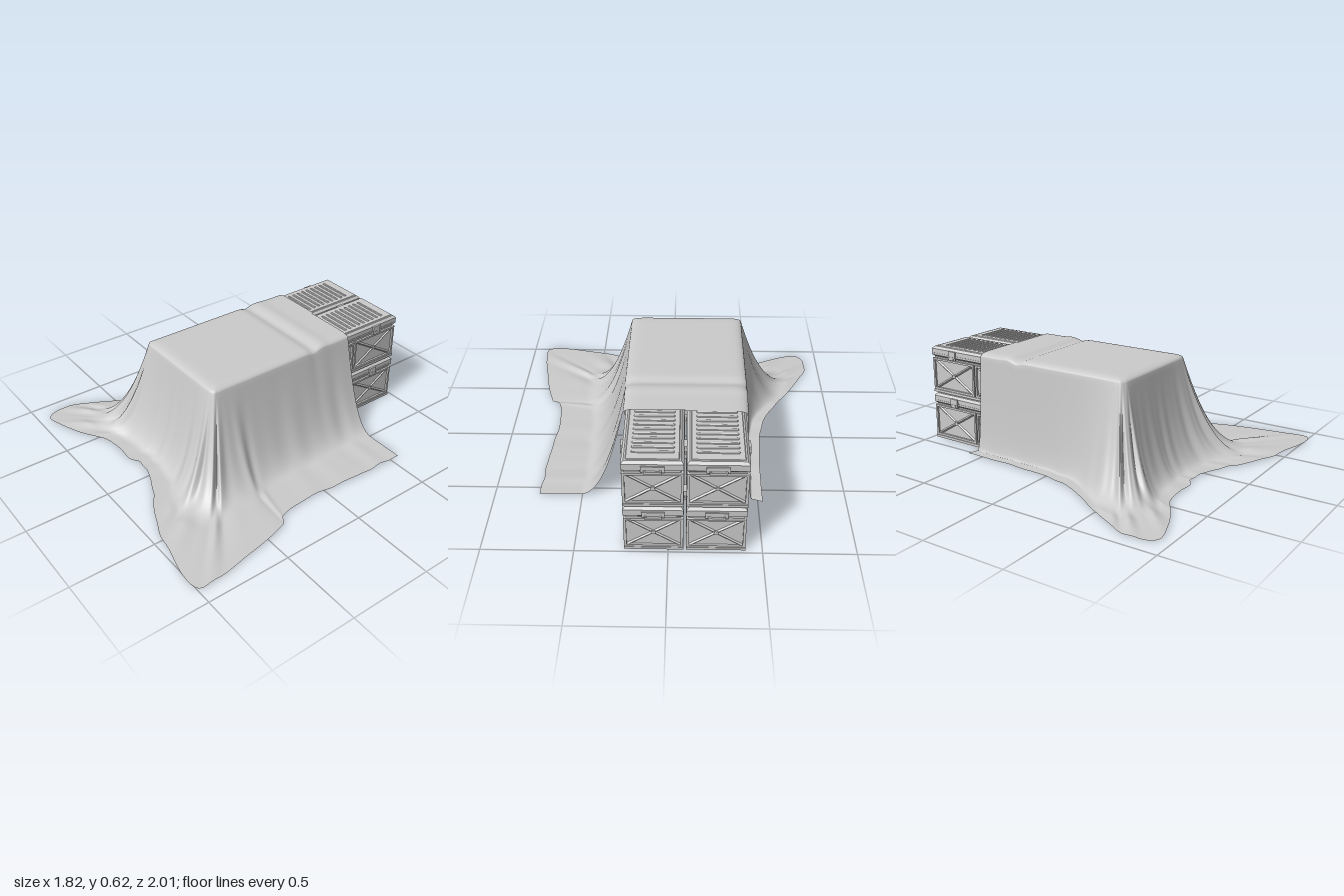
import * as THREE from 'three';

const mat = new THREE.MeshStandardMaterial({ color: 0xcccccc, flatShading: true });
const clothMat = new THREE.MeshStandardMaterial({ color: 0xcccccc, side: THREE.DoubleSide });

function add(parent, name, geo, x, y, z) {
  const m = new THREE.Mesh(geo, mat);
  m.name = name;
  m.position.set(x, y, z);
  parent.add(m);
  return m;
}
const box = (parent, name, w, h, d, x, y, z) => add(parent, name, new THREE.BoxGeometry(w, h, d), x, y, z);

// Slab with chamfered edges, standing on its own y = 0
function chamferedSlab(w, h, d, b) {
  const x = w / 2 - b, z = d / 2 - b;
  const shape = new THREE.Shape([[-x, -z], [x, -z], [x, z], [-x, z]].map(p => new THREE.Vector2(...p)));
  const geo = new THREE.ExtrudeGeometry(shape, {
    depth: h - 2 * b, bevelThickness: b, bevelSize: b, bevelSegments: 1,
  });
  return geo.rotateX(-Math.PI / 2).translate(0, b, 0);
}

// Framed panel with crossed ridges, facing +z
function bracedPanel(w, h) {
  const g = new THREE.Group();
  g.name = 'bracedPanel';
  const r = 0.012, t = 0.012;
  for (const s of [-1, 1]) {
    box(g, 'panelRail', w, r, t, 0, s * (h - r) / 2, 0);
    box(g, 'panelPost', r, h, t, s * (w - r) / 2, 0, 0);
    const ridge = new THREE.CylinderGeometry(0.008, 0.008, Math.hypot(w, h) - 0.035, 4);
    const brace = add(g, 'crossBrace', ridge, 0, 0, -0.005);
    brace.rotation.z = Math.PI / 2 + s * Math.atan2(h, w);
  }
  box(g, 'braceHub', 0.022, 0.022, 0.008, 0, 0, -0.001);
  return g;
}

const W = 0.316, H = 0.2, D = 0.685;

function crate() {
  const g = new THREE.Group();
  g.name = 'crate';
  box(g, 'base', W, 0.016, D, 0, 0.008, 0);
  box(g, 'body', W - 0.026, 0.215, D - 0.026, 0, 0.12, 0);
  for (const s of [-1, 1]) {
    // Braced walls: two panels along each side, one at each end
    for (const k of [-1, 1]) {
      const side = bracedPanel(D / 2 - 0.01, H);
      side.position.set(s * (W / 2 - 0.007), 0.118, k * D / 4);
      side.rotation.y = s * Math.PI / 2;
      g.add(side);
      box(g, 'sideLatch', 0.012, 0.055, 0.055, s * (W / 2 + 0.004), 0.252, k * 0.17);
      box(g, 'latchPin', 0.02, 0.02, 0.03, s * (W / 2 + 0.002), 0.235, k * 0.17);
    }
    const end = bracedPanel(W - 0.008, H);
    end.position.set(0, 0.118, s * (D / 2 - 0.007));
    if (s < 0) end.rotation.y = Math.PI;
    g.add(end);
    // End handle
    box(g, 'handlePlate', 0.12, 0.035, 0.008, 0, 0.25, s * (D / 2 + 0.003));
    box(g, 'handleGrip', 0.085, 0.014, 0.012, 0, 0.235, s * (D / 2 + 0.012));
    for (const k of [-1, 1]) box(g, 'handleArm', 0.012, 0.018, 0.02, k * 0.04, 0.237, s * (D / 2 + 0.007));
    box(g, 'lidRail', 0.01, 0.012, D - 0.03, s * (W / 2 - 0.003), 0.245, 0);
  }
  // Lid with a raised field and rounded slats
  add(g, 'lid', chamferedSlab(W, 0.066, D, 0.014), 0, 0.226, 0);
  add(g, 'lidField', chamferedSlab(W - 0.045, 0.006, D - 0.045, 0.003), 0, 0.289, 0);
  for (let i = 0; i < 15; i++) {
    const slat = add(g, 'lidSlat', new THREE.CapsuleGeometry(0.01, 0.2, 3, 8), 0, 0.294, (i - 7) * 0.0375);
    slat.rotation.z = Math.PI / 2;
    slat.scale.x = 0.75;
  }
  return g;
}

// Sheet outline: [top edge x, z, hem x, z, reach of the drape before it meets the floor]
const outline = [
  [-0.42, -0.57, -0.53, -0.605, 0.05], [-0.425, -0.40, -0.53, -0.40, 0.05],
  [-0.425, -0.20, -0.54, -0.15, 0.055], [-0.425, 0.00, -0.56, 0.05, 0.07],
  [-0.425, 0.20, -0.61, 0.22, 0.12], [-0.425, 0.33, -0.70, 0.37, 0.24],
  [-0.425, 0.40, -0.84, 0.60, 0.38], [-0.42, 0.425, -0.92, 0.80, 0.45],
  [-0.40, 0.435, -0.87, 0.935, 0.45], [-0.37, 0.44, -0.57, 0.83, 0.34],
  [-0.30, 0.44, -0.43, 0.75, 0.26], [-0.20, 0.44, -0.20, 0.74, 0.22],
  [-0.10, 0.44, -0.13, 0.71, 0.21], [0.00, 0.44, 0.00, 0.73, 0.22],
  [0.10, 0.44, 0.16, 0.80, 0.25], [0.18, 0.44, 0.30, 0.88, 0.33],
  [0.23, 0.435, 0.53, 0.96, 0.42], [0.25, 0.425, 0.90, 0.995, 0.45],
  [0.255, 0.40, 0.895, 0.80, 0.40], [0.255, 0.33, 0.80, 0.37, 0.33],
  [0.255, 0.20, 0.74, 0.31, 0.29], [0.255, 0.00, 0.72, 0.05, 0.27],
  [0.255, -0.20, 0.74, -0.20, 0.26], [0.25, -0.40, 0.745, -0.40, 0.26],
  [0.25, -0.56, 0.75, -0.56, 0.27],
];

function drapedSheet() {
  const topEdge = new THREE.CatmullRomCurve3(outline.map(o => new THREE.Vector3(o[0], o[4], o[1])));
  const hemEdge = new THREE.CatmullRomCurve3(outline.map(o => new THREE.Vector3(o[2], 0, o[3])));
  const nu = 480, nTop = 12, nSkirt = 32, rows = nTop + nSkirt + 1;
  const pos = [], idx = [];
  const bump = (z, c, w) => Math.exp(-(((z - c) / w) ** 2));
  const topY = z => 0.611 - 0.012 * bump(z, -0.29, 0.035) + 0.005 * bump(z, -0.37, 0.04);

  for (let i = 0; i <= nu; i++) {
    const u = i / nu, t = u * (outline.length - 1);
    const p = topEdge.getPoint(u), h = hemEdge.getPoint(u);
    const spineX = -0.085, spineZ = Math.min(p.z, 0.1);
    const dx = h.x - p.x, dz = h.z - p.z, dist = Math.hypot(dx, dz);
    const reach = Math.min(p.y, dist * 0.92);
    // Folds deepen towards the fanned corners
    const depth = THREE.MathUtils.clamp((p.y - 0.22) / 0.2, 0.25, 1);
    const fold = 0.5 + 0.33 * Math.sin(t * 5.5) + 0.17 * Math.sin(t * 9 + 1);

    // Flat top, from the spine out to the rounded edge
    for (let j = 0; j < nTop; j++) {
      const k = 1 - (1 - j / nTop) ** 1.8;
      const z = THREE.MathUtils.lerp(spineZ, p.z, k);
      pos.push(THREE.MathUtils.lerp(spineX, p.x, k), topY(z) - 0.02 * k ** 18, z);
    }
    // Skirt: falls in a curve, then lies on the floor
    for (let j = 0; j <= nSkirt; j++) {
      const v = j / nSkirt, a = Math.min(v / 0.75, 1), b = Math.max((v - 0.75) / 0.25, 0);
      const q = a ** 1.2;
      let d = reach * q * (1 - 0.26 * depth * fold * Math.sin(Math.PI * q ** 0.7));
      d += (dist * (1 - 0.02 * fold) - reach) * b;
      const y = 0.003 + (topY(p.z) - 0.027) * (1 - q) ** 2.1
        + 0.02 * depth * fold * a ** 6 * (1 - b) ** 1.2 + 0.004 * fold * b;
      pos.push(p.x + dx / dist * d, y, p.z + dz / dist * d);
    }
  }
  for (let i = 0; i < nu; i++) {
    for (let j = 0; j < rows - 1; j++) {
      const a = i * rows + j, c = a + rows;
      idx.push(a, a + 1, c, c, a + 1, c + 1);
    }
  }
  const geo = new THREE.BufferGeometry();
  geo.setAttribute('position', new THREE.Float32BufferAttribute(pos, 3));
  geo.setIndex(idx);
  geo.computeVertexNormals();
  const m = new THREE.Mesh(geo, clothMat);
  m.name = 'drapedSheet';
  return m;
}

export function createModel() {
  const model = new THREE.Group();
  model.name = 'coveredCrates';
  // Stack of crates: two wide, two high, two deep
  for (const x of [-0.252, 0.077])
    for (const y of [0, 0.304])
      for (const z of [-0.638, 0.06]) {
        const c = crate();
        c.position.set(x, y, z);
        model.add(c);
      }
  model.add(drapedSheet());
  return model;
}
